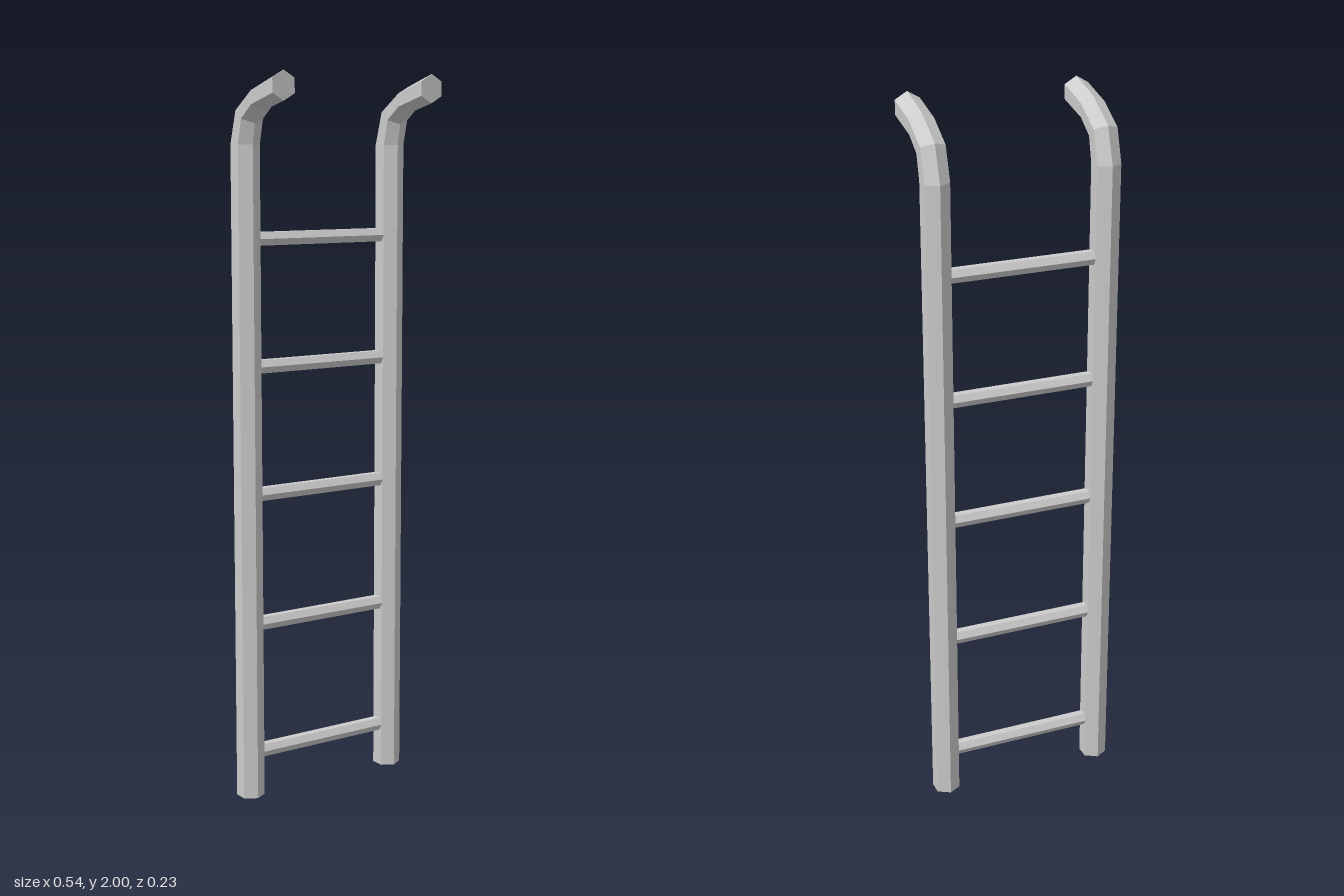
import * as THREE from 'three';

const SIDES = 6;
const RADIUS = 0.039;
const POST_X = 0.236;

// Rail rings: centre z, y and the half-depth vector (z, y) towards the outer ridge
const RINGS = [
  [-0.077, 0, -0.039, 0],
  [-0.077, 1.812, -0.039, 0],
  [-0.055, 1.89, -0.028, 0.022],
  [0.01, 1.933, 0, 0.036],
  [0.115, 1.961, 0, 0.039],
];

function railGeometry() {
  const ring = ([z, y, dz, dy]) => Array.from({ length: SIDES }, (_, i) => {
    const a = (i / SIDES) * Math.PI * 2;
    return [Math.sin(a) * RADIUS, y + Math.cos(a) * dy, z + Math.cos(a) * dz];
  });
  const rings = RINGS.map(ring);
  const positions = [];
  const tri = (a, b, c) => positions.push(...a, ...b, ...c);

  // Side faces between neighbouring rings
  for (let r = 0; r < rings.length - 1; r++) {
    for (let i = 0; i < SIDES; i++) {
      const j = (i + 1) % SIDES;
      const a = rings[r][i], b = rings[r][j], c = rings[r + 1][j], d = rings[r + 1][i];
      tri(a, c, b);
      tri(a, d, c);
    }
  }
  // End caps
  const first = rings[0], last = rings[rings.length - 1];
  for (let i = 1; i < SIDES - 1; i++) {
    tri(first[0], first[i], first[i + 1]);
    tri(last[0], last[i + 1], last[i]);
  }
  const geometry = new THREE.BufferGeometry();
  geometry.setAttribute('position', new THREE.Float32BufferAttribute(positions, 3));
  geometry.computeVertexNormals();
  return geometry;
}

export function createModel() {
  const group = new THREE.Group();
  group.name = 'ladder';
  const material = new THREE.MeshStandardMaterial({ color: 0xcccccc, flatShading: true });

  // Two side rails hooked over at the top
  const railShape = railGeometry();
  for (const side of [1, -1]) {
    const rail = new THREE.Mesh(railShape, material);
    rail.name = side > 0 ? 'leftRail' : 'rightRail';
    rail.position.x = side * POST_X;
    group.add(rail);
  }

  // Hexagonal rungs, ridge facing front and back
  const rungShape = new THREE.CylinderGeometry(0.021, 0.021, 0.406, SIDES, 1);
  rungShape.rotateZ(Math.PI / 2);
  [0.125, 0.496, 0.863, 1.217, 1.563].forEach((y, i) => {
    const rung = new THREE.Mesh(rungShape, material);
    rung.name = `rung${i + 1}`;
    rung.position.set(0, y, -0.0765);
    group.add(rung);
  });

  return group;
}
